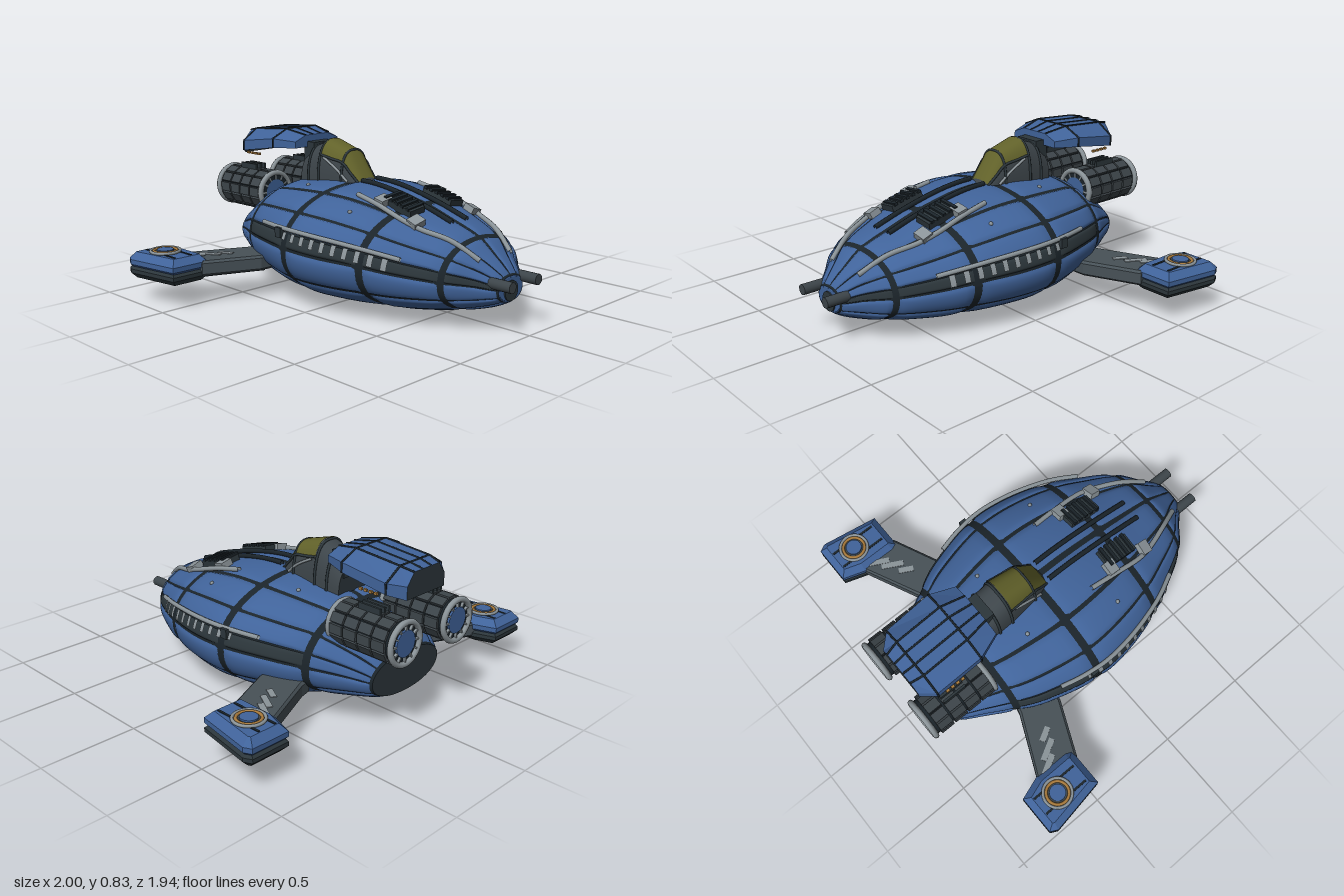
import * as THREE from 'three';
import { mergeGeometries } from 'three/addons/utils/BufferGeometryUtils.js';

const mat = (name, color) => Object.assign(new THREE.MeshStandardMaterial({ color, side: THREE.DoubleSide }), { name });
const rad = THREE.MathUtils.degToRad;

// Hull stations: z, half width, top, bottom, height of widest line
const STATIONS = [
  [0.885, 0.1, 0.27, 0.13, 0.2], [0.8, 0.18, 0.345, 0.095, 0.215], [0.7, 0.29, 0.42, 0.07, 0.23],
  [0.5, 0.405, 0.49, 0.035, 0.25], [0.35, 0.475, 0.535, 0.02, 0.27], [0.1, 0.54, 0.585, 0.006, 0.28],
  [-0.12, 0.55, 0.592, 0.003, 0.29], [-0.4, 0.48, 0.57, 0.045, 0.29], [-0.55, 0.41, 0.54, 0.085, 0.28],
  [-0.7, 0.32, 0.45, 0.11, 0.265], [-0.82, 0.25, 0.36, 0.135, 0.25]];

// Smooth interpolation between stations
function station(z) {
  const S = STATIONS, n = S.length - 1;
  let i = 0;
  while (i < n - 1 && z < S[i + 1][0]) i++;
  const h = S[i + 1][0] - S[i][0], t = THREE.MathUtils.clamp((z - S[i][0]) / h, 0, 1);
  const slope = (j, k) => {
    const a = S[Math.max(j - 1, 0)], b = S[Math.min(j + 1, n)];
    return (b[k] - a[k]) / (b[0] - a[0]);
  };
  return [1, 2, 3, 4].map((k) => {
    const t2 = t * t, t3 = t2 * t;
    return (2 * t3 - 3 * t2 + 1) * S[i][k] + (t3 - 2 * t2 + t) * h * slope(i, k)
      + (3 * t2 - 2 * t3) * S[i + 1][k] + (t3 - t2) * h * slope(i + 1, k);
  });
}

// Point on the hull: angle in degrees (0 = left side, 90 = top), z, outward offset
function hullPoint(deg, z, off = 0) {
  const [w, top, bottom, mid] = station(z), c = Math.cos(rad(deg)), s = Math.sin(rad(deg));
  const h = s > 0 ? top - mid : mid - bottom;
  const pw = (v) => Math.sign(v) * Math.abs(v) ** 0.92;
  const nl = Math.hypot(c / w, s / h);
  return [w * pw(c) + off * c / w / nl, mid + h * pw(s) + off * s / h / nl, z];
}
function hullTop(x, z) {
  const c = Math.min(1, Math.abs(x) / station(z)[0]) ** (1 / 0.92);
  return hullPoint(THREE.MathUtils.radToDeg(Math.acos(c)), z)[1];
}

// Surface grid from a function of u and v
function grid(fn, nu, nv) {
  const pos = [], idx = [];
  for (let j = 0; j <= nv; j++) for (let i = 0; i <= nu; i++) pos.push(...fn(i / nu, j / nv));
  for (let j = 0; j < nv; j++) for (let i = 0; i < nu; i++) {
    const a = j * (nu + 1) + i, b = a + nu + 1;
    idx.push(a, b, a + 1, a + 1, b, b + 1);
  }
  const g = new THREE.BufferGeometry();
  g.setAttribute('position', new THREE.Float32BufferAttribute(pos, 3));
  g.setIndex(idx);
  g.computeVertexNormals();
  return g;
}
const flat = (g) => { const f = g.toNonIndexed(); f.computeVertexNormals(); return f; };
const tube = (pts, r) => new THREE.TubeGeometry(
  new THREE.CatmullRomCurve3(pts.map((p) => new THREE.Vector3(...p)), false, 'centripetal'), pts.length * 6, r, 8);
const polygon = (pts) => new THREE.Shape(pts.map((p) => new THREE.Vector2(p[0], p[1])));
// Horizontal plate from an outline of [x, z] points
function plate(pts, y0, y1, bevel) {
  const g = new THREE.ExtrudeGeometry(polygon(pts.map(([x, z]) => [x, -z])), {
    depth: y1 - y0 - 2 * bevel, bevelEnabled: bevel > 0, bevelThickness: bevel, bevelSize: bevel, bevelOffset: -bevel, bevelSegments: 1 });
  return g.rotateX(-Math.PI / 2).translate(0, y0 + bevel, 0);
}
const lerp = THREE.MathUtils.lerp;

export function createModel() {
  const model = new THREE.Group();
  const blue = mat('hull blue', 0x40639a), seam = mat('seam black', 0x1b242a), dark = mat('dark metal', 0x2c363b);
  const steel = mat('engine grey', 0x3d454a), wing = mat('strut grey', 0x475157), light = mat('light metal', 0x8b9499);
  const glass = mat('olive glass', 0x62622a), amber = mat('amber', 0xa87a3c);
  const add = (name, geo, m, parent = model) => {
    const mesh = new THREE.Mesh(geo, m);
    mesh.name = name;
    parent.add(mesh);
    return mesh;
  };
  const box = (name, m, w, h, d, x, y, z, parent) => {
    const b = add(name, new THREE.BoxGeometry(w, h, d), m, parent);
    b.position.set(x, y, z);
    return b;
  };
  // Box lying on the upper hull, tilted to its slope
  const deckBox = (name, m, w, h, d, x, z, off = 0) => {
    const e = 0.02, b = box(name, m, w, h, d, x, hullTop(x, z) + off, z);
    b.rotation.x = -Math.atan((hullTop(x, z + e) - hullTop(x, z - e)) / (2 * e));
    b.rotation.z = Math.atan((hullTop(x + e, z) - hullTop(x - e, z)) / (2 * e));
    return b;
  };

  // Hull: dark core under padded panels, so the gaps read as seams
  add('hullSeams', grid((u, v) => hullPoint(u * 360, lerp(0.885, -0.82, v), -0.008), 72, 60), seam);
  const angles = [-90, -58, -28, 4, 18, 38, 63, 90, 117, 142, 162, 176, 208, 238, 270];
  const rings = [0.885, 0.7, 0.35, -0.11, -0.55, -0.82];
  const panels = [], bands = [];
  for (let r = 0; r < rings.length - 1; r++) for (let a = 0; a < angles.length - 1; a++) {
    const g = grid((u, v) => {
      const t = Math.max(Math.abs(2 * u - 1), Math.abs(2 * v - 1));
      return hullPoint(lerp(angles[a], angles[a + 1], u), lerp(rings[r], rings[r + 1], v), -0.014 * t ** 8);
    }, 10, 12);
    ((a === 3 || a === 10) && r < 4 ? bands : panels).push(g);
  }
  add('hullPanels', mergeGeometries(panels), blue);
  add('sideBands', mergeGeometries(bands), dark);
  const outline = (z) => polygon(Array.from({ length: 48 }, (_, i) => hullPoint(i * 7.5, z, -0.008)));
  add('tailCap', new THREE.ShapeGeometry(outline(-0.82)).rotateY(Math.PI).translate(0, 0, -0.82), dark);
  add('noseCap', new THREE.ShapeGeometry(outline(0.885)).translate(0, 0, 0.884), blue);
  add('nosePort', new THREE.CylinderGeometry(0.05, 0.05, 0.01, 24).rotateX(Math.PI / 2).translate(0, 0.19, 0.886), dark);
  add('bellyHatch', grid((u, v) => hullPoint(lerp(259, 281, u), lerp(0.13, -0.07, v), 0.004), 8, 8), dark);

  // Cockpit: arched sections z, half width, top
  const cockpit = [[-0.05, 0.07, 0.585], [-0.16, 0.095, 0.742], [-0.31, 0.11, 0.785], [-0.4, 0.11, 0.75], [-0.47, 0.1, 0.69]];
  const cockpitPoint = (deg, z, off = 0) => {
    let i = 0;
    while (i < 3 && z < cockpit[i + 1][0]) i++;
    const [a, b] = [cockpit[i], cockpit[i + 1]], t = (z - a[0]) / (b[0] - a[0]);
    const c = Math.cos(rad(deg)), s = Math.sin(rad(deg));
    return [(lerp(a[1], b[1], t) + off) * Math.sign(c) * Math.abs(c) ** 0.75, 0.54 + (lerp(a[2], b[2], t) - 0.54 + off) * Math.abs(s) ** 0.75, z];
  };
  add('cockpitShell', grid((u, v) => cockpitPoint(u * 180, lerp(-0.05, -0.47, v)), 24, 42), steel);
  add('cockpitGlass', grid((u, v) => cockpitPoint(lerp(38, 142, u), lerp(-0.06, -0.31, v), 0.005), 16, 25), glass);
  add('cockpitBack', new THREE.ShapeGeometry(polygon(Array.from({ length: 25 }, (_, i) => cockpitPoint(i * 7.5, -0.47)))).translate(0, 0, -0.47), dark);
  for (const z of [-0.16, -0.32, -0.4])
    add('cockpitRib', tube(Array.from({ length: 13 }, (_, i) => cockpitPoint(i * 15, z, 0.002)), 0.007), dark);
  for (const s of [-1, 1]) {
    const side = (d) => (s > 0 ? d : 180 - d);
    add('canopyRail', tube([-0.06, -0.11, -0.16, -0.24, -0.31].map((z) => cockpitPoint(side(37), z, 0.004)), 0.007), dark);
    add('canopyTrim', tube([[12, -0.12], [22, -0.19], [34, -0.29]].map(([d, z]) => cockpitPoint(side(d), z, 0.004)), 0.007), light);
  }

  // Armour canopy over the tail: z, top half width, top, side half width, side height, lower edge
  const armour = [[-0.45, 0.08, 0.8, 0.155, 0.77, 0.735], [-0.58, 0.105, 0.825, 0.205, 0.78, 0.73],
    [-0.84, 0.105, 0.805, 0.2, 0.745, 0.69], [-0.91, 0.09, 0.79, 0.135, 0.73, 0.665]];
  const rim = ([z, a, yt, b, ys, yb]) => [[b, yb, z], [b, ys, z], [a, yt, z], [-a, yt, z], [-b, ys, z], [-b, yb, z]];
  add('armourTop', flat(grid((u, v) => rim(armour[Math.round(v * 3)])[Math.round(u * 5)], 5, 3)), blue);
  add('armourUnderside', flat(grid((u, v) => {
    const [z, , , b, , yb] = armour[Math.round(v * 3)];
    return [lerp(-b, b, u), yb + (u > 0.2 && u < 0.8 ? 0.025 : 0), z];
  }, 3, 3)), dark);
  for (const k of [0, 3])
    add('armourEnd', new THREE.ShapeGeometry(polygon(rim(armour[k]))).translate(0, 0, armour[k][0]), k ? dark : blue);
  for (const f of [-1, -0.35, 0.35, 1])
    add('armourSeam', mergeGeometries([0, 1, 2].map((i) => tube([armour[i], armour[i + 1]].map((p) => [f * p[1], p[2], p[0]]), 0.005))), seam);
  for (const i of [1, 2]) {
    const r = rim(armour[i]);
    add('armourCrossSeam', mergeGeometries([0, 1, 2, 3, 4].map((k) => tube([r[k], r[k + 1]], 0.005))), seam);
  }
  box('armourPylon', dark, 0.14, 0.13, 0.08, 0, 0.7, -0.435);

  for (const s of [-1, 1]) {
    const side = (d) => (s > 0 ? d : 180 - d);
    // Nose guns
    add('noseGun', new THREE.CylinderGeometry(0.027, 0.027, 0.25, 16).rotateX(Math.PI / 2).translate(0.1 * s, 0.24, 0.845), steel);

    // Engines
    const engine = new THREE.Group();
    engine.name = 'engine';
    engine.position.set(0.19 * s, 0.49, 0);
    model.add(engine);
    const drum = (name, r, z0, z1, m, n = 24) =>
      add(name, new THREE.CylinderGeometry(r, r, z0 - z1, n).rotateX(Math.PI / 2).translate(0, 0, (z0 + z1) / 2), m, engine);
    drum('engineCore', 0.1, -0.58, -0.95, seam);
    for (let i = 0; i < 4; i++) for (let k = 0; k < 12; k++) {
      const b = box('enginePlate', steel, 0.048, 0.016, 0.074, 0, 0, -0.635 - i * 0.084, engine);
      b.rotation.z = k * Math.PI / 6;
      b.position.x = -Math.sin(b.rotation.z) * 0.103;
      b.position.y = Math.cos(b.rotation.z) * 0.103;
    }
    for (const z of [-0.585, -0.955]) {
      add('engineRing', new THREE.TorusGeometry(0.102, 0.015, 8, 32).translate(0, 0, z), light, engine);
      drum('engineHub', 0.065, z + 0.006, z - 0.006, blue);
      for (let k = 0; k < 12; k++) {
        const b = box('engineVane', light, 0.008, 0.03, 0.016, 0, 0, z, engine);
        b.rotation.z = k * Math.PI / 6;
        b.position.x = -Math.sin(b.rotation.z) * 0.08;
        b.position.y = Math.cos(b.rotation.z) * 0.08;
      }
    }
    for (const x of [-0.03, 0, 0.03]) box('engineFin', dark, 0.012, 0.035, 0.13, x, 0.12, -0.77, engine);
    for (let i = 0; i < 4; i++) box('amberLamp', amber, 0.012, 0.012, 0.018, 0.205 * s, 0.685, -0.7 - i * 0.03);

    // Wing strut and pod
    const mx = (pts) => pts.map(([x, z]) => [x * s, z]);
    add('wingStrut', plate(mx([[0.36, -0.53], [0.42, -0.545], [0.78, -0.71], [0.78, -0.46], [0.5, -0.335], [0.36, -0.33]]), 0.145, 0.225, 0.012), wing);
    add('strutUnderside', plate(mx([[0.4, -0.5], [0.76, -0.65], [0.76, -0.5], [0.45, -0.37]]), 0.132, 0.15, 0), dark);
    const pod = mx([[0.77, -0.81], [0.98, -0.81], [1, -0.77], [0.95, -0.465], [0.745, -0.465], [0.73, -0.5], [0.73, -0.69]]);
    add('podTop', plate(pod, 0.16, 0.255, 0.035), blue);
    add('podBottom', plate(pod, 0.12, 0.2, 0.03), dark);
    for (const x of [0.81, 0.905]) box('podSeam', seam, 0.012, 0.006, 0.26, x * s, 0.255, -0.64);
    const disc = (name, r, y, m) => add(name, new THREE.CylinderGeometry(r, r, 0.016, 28).translate(0.862 * s, y, -0.66), m);
    disc('podThrusterBase', 0.078, 0.254, steel);
    disc('podThrusterCore', 0.042, 0.262, blue);
    for (const [r, m] of [[0.074, light], [0.058, amber]])
      add('podThrusterRing', new THREE.TorusGeometry(r, 0.008, 8, 32).rotateX(Math.PI / 2).translate(0.862 * s, 0.262, -0.66), m);
    for (const [x, z, l] of [[0.72, -0.6, 0.11], [0.66, -0.555, 0.12], [0.59, -0.515, 0.08]])
      box('strutMarking', light, 0.03, 0.005, l, x * s, 0.226, z).rotation.y = -0.5 * s;

    // Deck rails, pipes and vents
    const deckPipe = (name, pts, r, m) => add(name, tube(pts.map(([x, z]) => [x * s, hullTop(x, z) + 0.008, z]), r), m);
    deckPipe('deckRail', [0.57, 0.45, 0.3, 0.15, 0.05, -0.04].map((z) => [0.055, z]), 0.013, seam);
    deckPipe('deckPipe', [[0.225, 0.1], [0.235, 0.25], [0.24, 0.42], [0.22, 0.52], [0.17, 0.66], [0.115, 0.79]], 0.013, light);
    deckBox('deckVent', dark, 0.1, 0.04, 0.19, 0.145 * s, 0.335, 0.008);
    for (let i = 0; i < 5; i++) deckBox('ventSlat', seam, 0.11, 0.016, 0.018, 0.145 * s, 0.265 + i * 0.036, 0.032);
    deckBox('pipeBlock', light, 0.07, 0.035, 0.06, 0.2 * s, 0.25, 0.016);
    deckBox('pipeBlock', light, 0.07, 0.035, 0.06, 0.21 * s, 0.475, 0.014);
    for (const [x, z] of [[0.35, 0.17], [0.2, -0.3]]) add('deckBolt', new THREE.SphereGeometry(0.011, 10, 6).translate(x * s, hullTop(x, z), z), light);

    // Side pipe and the row of teeth on the dark band
    add('sidePipe', tube([0.53, 0.4, 0.25, 0.1, -0.05, -0.2, -0.32].map((z) => hullPoint(side(20.5), z, 0.012)), 0.012), light);
    for (let i = 0; i < 11; i++) {
      const z = 0.48 - i * 0.063, low = 6 + i * 0.6;
      add('bandTooth', grid((u, v) => hullPoint(side(lerp(low, 18, s > 0 ? u : 1 - u)), z - v * 0.026, 0.008), 4, 2), light);
    }
    box('sideClamp', dark, 0.03, 0.05, 0.04, 0.535 * s, 0.39, -0.14);
  }
  return model;
}
